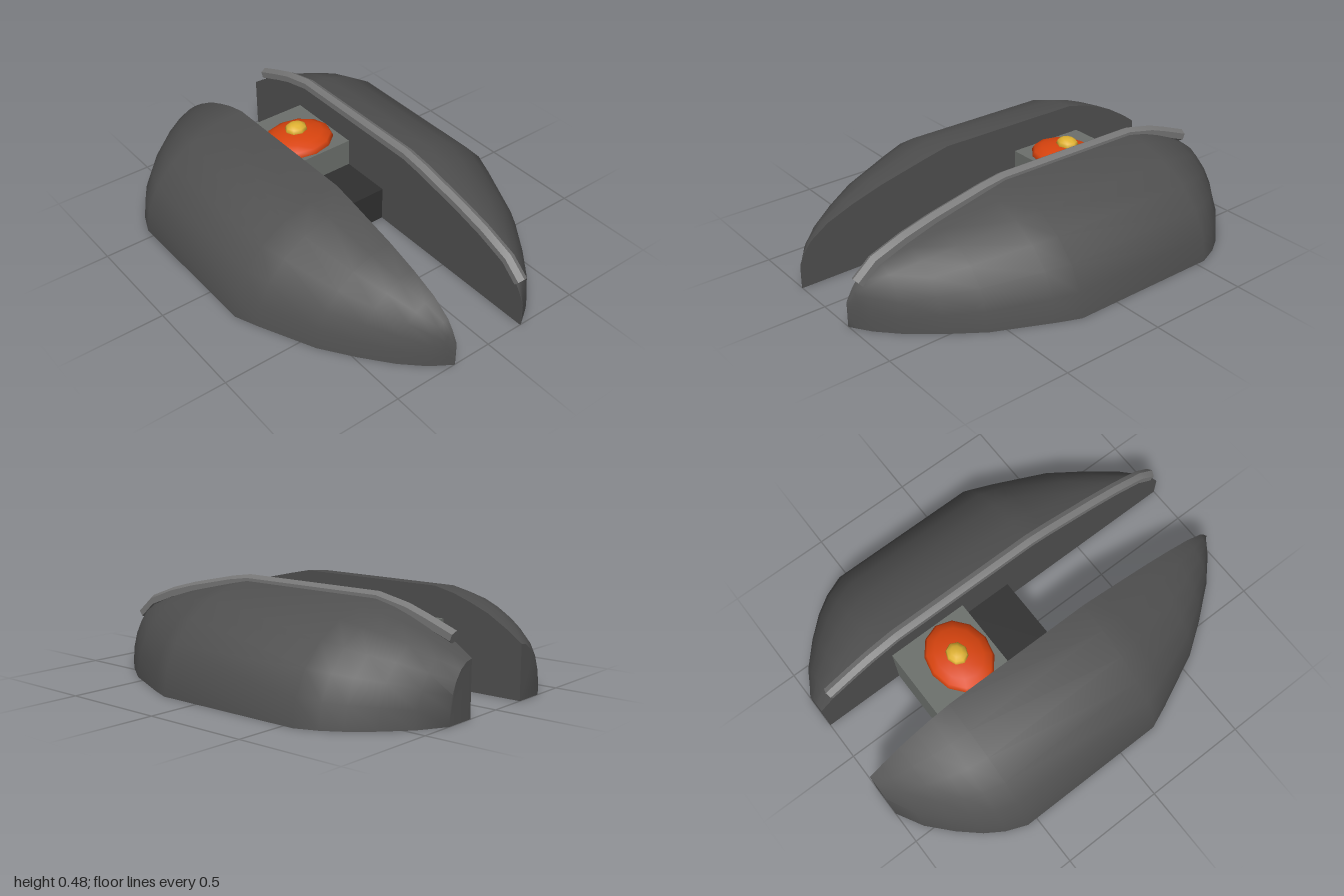
import * as THREE from 'three';
import { toCreasedNormals } from 'three/addons/utils/BufferGeometryUtils.js';

const paint = (color) => new THREE.MeshStandardMaterial({ color });

// Closed loft through rings of equal length, listed front to back,
// each ring counter-clockwise when seen from the front.
function loft(rings, crease) {
  const n = rings[0].length;
  const pos = rings.flat().flatMap((p) => p.toArray());
  const index = [];
  for (let i = 0; i < rings.length - 1; i++) {
    for (let j = 0; j < n; j++) {
      const k = (j + 1) % n;
      const a = i * n + j, b = i * n + k, c = a + n, d = b + n;
      index.push(a, c, b, b, c, d);
    }
  }
  const last = (rings.length - 1) * n;
  for (let j = 1; j < n - 1; j++) {
    index.push(0, j, j + 1, last, last + j + 1, last + j);
  }
  const geo = new THREE.BufferGeometry();
  geo.setAttribute('position', new THREE.Float32BufferAttribute(pos, 3));
  geo.setIndex(index);
  return toCreasedNormals(geo, crease);
}

// Hull stations: [z, width outwards from the inner wall, crest height]
const INNER = 0.19;
const STATIONS = [
  [1, 0.005, 0.12], [0.97, 0.05, 0.175], [0.94, 0.095, 0.215], [0.85, 0.19, 0.275],
  [0.72, 0.295, 0.325], [0.57, 0.4, 0.37], [0.31, 0.52, 0.43], [0.2, 0.565, 0.453],
  [-0.55, 0.565, 0.453], [-0.65, 0.525, 0.43], [-0.735, 0.47, 0.4],
  [-0.83, 0.385, 0.36], [-0.93, 0.275, 0.3], [-1, 0.15, 0.25],
];

// Quarter-ellipse section with a flat inner wall and a flat base
function hullGeometry(side) {
  const rings = STATIONS.map(([z, w, h]) => {
    const ring = [];
    for (let i = 0; i <= 6; i++) {
      const a = (i / 6) * Math.PI / 2;
      ring.push(new THREE.Vector3(side * (INNER + w * Math.cos(a)), h * Math.sin(a), z));
    }
    ring.push(new THREE.Vector3(side * INNER, 0, z));
    return side > 0 ? ring : ring.reverse();
  });
  return loft(rings, 0.6);
}

// Hexagonal bar swept along the crest of the left hull: [z, y]
function railGeometry() {
  const path = [
    [0.955, 0.208], [0.87, 0.28], [0.72, 0.335], [0.57, 0.375], [0.31, 0.43],
    [0.2, 0.447], [-0.55, 0.447], [-0.7, 0.415], [-0.8, 0.38], [-0.93, 0.33],
  ];
  const r = 0.03;
  const rings = path.map(([z, y], i) => {
    const p = path[Math.max(i - 1, 0)], q = path[Math.min(i + 1, path.length - 1)];
    const t = new THREE.Vector2(p[0] - q[0], p[1] - q[1]).normalize();
    return Array.from({ length: 6 }, (_, j) => {
      const a = Math.PI / 6 + (j * Math.PI) / 3;
      const s = r * Math.sin(a);
      return new THREE.Vector3(0.212 + r * Math.cos(a), y + s * t.x, z - s * t.y);
    });
  });
  return loft(rings, 0.6);
}

export function createModel() {
  const model = new THREE.Group();
  const add = (name, geo, material, x = 0, y = 0, z = 0) => {
    const mesh = new THREE.Mesh(geo, material);
    mesh.name = name;
    mesh.position.set(x, y, z);
    model.add(mesh);
    return mesh;
  };

  // Twin hull halves
  const hull = paint(0x505050);
  add('leftHull', hullGeometry(1), hull);
  add('rightHull', hullGeometry(-1), hull);

  // Rail on the left crest
  add('crestRail', railGeometry(), paint(0x777777));

  // Blocks bridging the hulls
  add('rearBlock', new THREE.BoxGeometry(0.38, 0.31, 0.4), paint(0x6c706c), 0, 0.155, -0.4);
  add('frontBlock', new THREE.BoxGeometry(0.38, 0.172, 0.26), paint(0x303030), 0, 0.086, -0.07);

  // Flattened dome with a small knob
  add('dome', new THREE.SphereGeometry(1, 12, 8), paint(0xd9440e), 0, 0.31, -0.36)
    .scale.set(0.185, 0.06, 0.15);
  add('domeKnob', new THREE.SphereGeometry(1, 8, 6), paint(0xe0b232), 0, 0.37, -0.37)
    .scale.set(0.057, 0.033, 0.05);

  return model;
}
